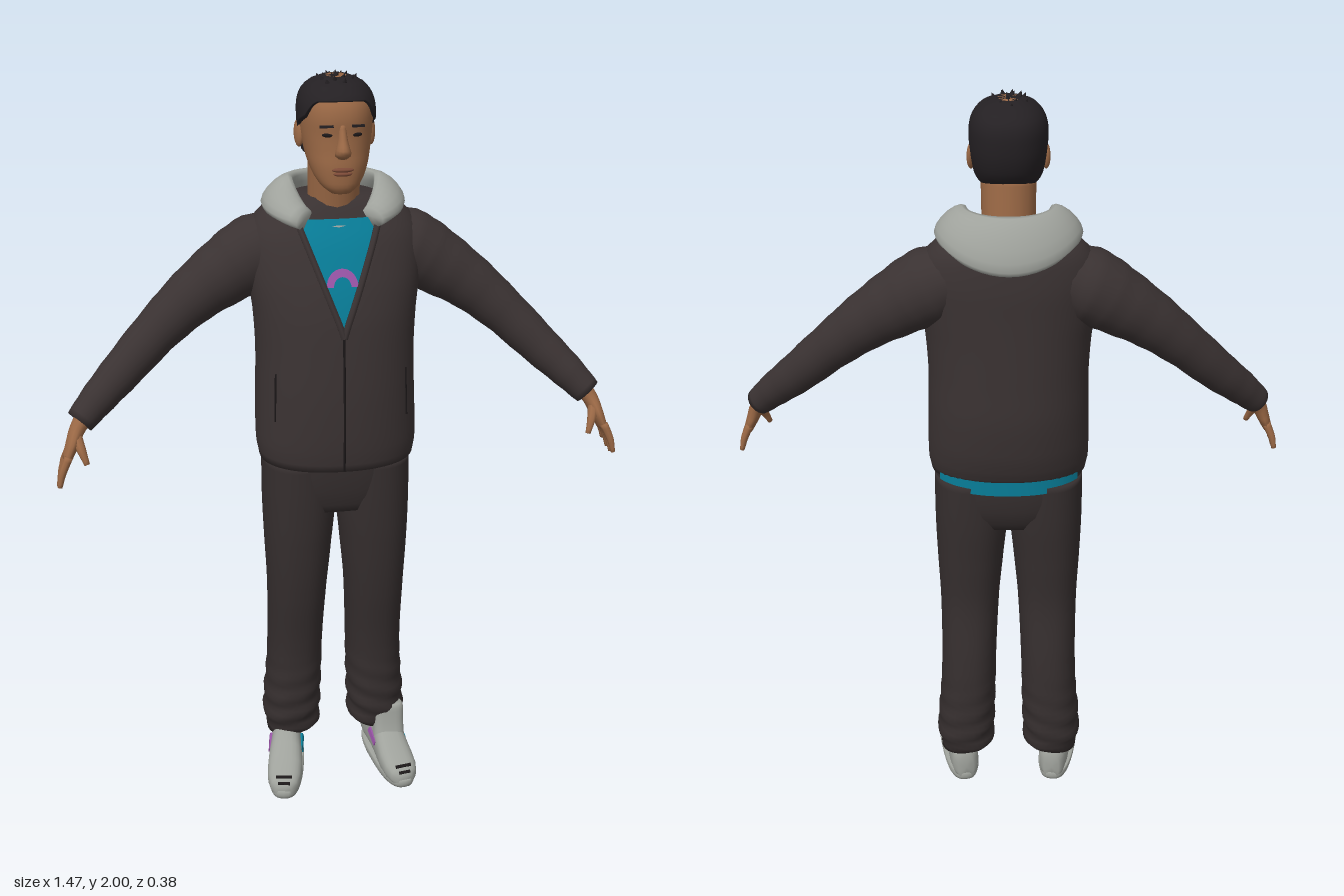
import * as THREE from 'three';

const V = (x, y, z) => new THREE.Vector3(x, y, z);
const mat = (name, color, side = THREE.FrontSide) => {
  const m = new THREE.MeshStandardMaterial({ color, side });
  m.name = name;
  return m;
};

// Closed smooth surface through equal rings of points, capped at both ends
function loft(rings) {
  const n = rings[0].length, pos = [], idx = [];
  const add = p => pos.push(p.x, p.y, p.z);
  rings.forEach(r => r.forEach(add));
  for (let i = 0; i < rings.length - 1; i++) for (let j = 0; j < n; j++) {
    const a = i * n + j, b = i * n + (j + 1) % n;
    idx.push(a, b, b + n, a, b + n, a + n);
  }
  [0, rings.length - 1].forEach((k, end) => {
    add(rings[k].reduce((s, p) => s.add(p), V(0, 0, 0)).divideScalar(n));
    const c = pos.length / 3 - 1;
    for (let j = 0; j < n; j++) {
      const a = k * n + j, b = k * n + (j + 1) % n;
      if (end) idx.push(a, b, c); else idx.push(b, a, c);
    }
  });
  // turn the faces outward
  const P = i => V(pos[3 * i], pos[3 * i + 1], pos[3 * i + 2]);
  let vol = 0;
  for (let i = 0; i < idx.length; i += 3) vol += P(idx[i]).dot(P(idx[i + 1]).cross(P(idx[i + 2])));
  return surface(pos, vol < 0 ? idx.reverse() : idx);
}
function surface(pos, idx) {
  const g = new THREE.BufferGeometry();
  g.setAttribute('position', new THREE.Float32BufferAttribute(pos, 3));
  g.setIndex(idx);
  g.computeVertexNormals();
  return g;
}
// Open sheet from f(u, v)
function sheet(f, nu = 16, nv = 10) {
  const pos = [], idx = [];
  for (let i = 0; i <= nv; i++) for (let j = 0; j <= nu; j++) pos.push(...f(j / nu, i / nv).toArray());
  for (let i = 0; i < nv; i++) for (let j = 0; j < nu; j++) {
    const a = i * (nu + 1) + j, b = a + nu + 1;
    idx.push(a, a + 1, b + 1, a, b + 1, b);
  }
  return surface(pos, idx);
}

// Body described by rows [y, centre x, half width, front z, back z]
function body(rows, n = 2.2) {
  const at = y => {
    let i = 0;
    while (i < rows.length - 2 && y > rows[i + 1][0]) i++;
    const t = THREE.MathUtils.clamp((y - rows[i][0]) / (rows[i + 1][0] - rows[i][0]), 0, 1);
    const r = k => rows[Math.min(Math.max(k, 0), rows.length - 1)];
    return [1, 2, 3, 4].map(c => {
      const [a, b, d, e] = [r(i - 1)[c], r(i)[c], r(i + 1)[c], r(i + 2)[c]];
      return b + 0.5 * t * (d - a + t * (2 * a - 5 * b + 4 * d - e + t * (3 * (b - d) + e - a)));
    });
  };
  const se = c => Math.sign(c) * Math.abs(c) ** (2 / n);
  const point = (y, th, grow = 0) => {
    const [cx, hw, zf, zb] = at(y);
    return V(cx + (hw + grow) * se(Math.cos(th)), y, (zf + zb) / 2 + ((zf - zb) / 2 + grow) * se(Math.sin(th)));
  };
  const frontZ = (x, y) => {
    const [cx, hw, zf, zb] = at(y);
    return (zf + zb) / 2 + (zf - zb) / 2 * Math.max(0, 1 - Math.abs((x - cx) / hw) ** n) ** (1 / n);
  };
  const geometry = (steps = 24, segs = 36, tweak = p => p) => {
    const y0 = rows[0][0], y1 = rows[rows.length - 1][0];
    return loft(Array.from({ length: steps + 1 }, (_, i) => Array.from({ length: segs }, (_, j) =>
      tweak(point(y0 + (y1 - y0) * i / steps, j / segs * 2 * Math.PI)))));
  };
  return { point, frontZ, geometry };
}

// Round limb along points [x, y, z, radius across z, other radius]
function limb(pts, steps = 16, segs = 16, ripple = 0) {
  const curve = new THREE.CatmullRomCurve3(pts.map(p => V(p[0], p[1], p[2])));
  return loft(Array.from({ length: steps + 1 }, (_, i) => {
    const t = i / steps, k = Math.min(t * (pts.length - 1), pts.length - 1.0001), a = Math.floor(k);
    const rad = c => THREE.MathUtils.lerp(pts[a][c] ?? pts[a][3], pts[a + 1][c] ?? pts[a + 1][3], k - a);
    const T = curve.getTangent(t), A = V(0, 0, 1).addScaledVector(T, -T.z).normalize(), B = T.clone().cross(A);
    const w = 1 + ripple * Math.sin(i * 1.9);
    return Array.from({ length: segs }, (_, j) => {
      const th = j / segs * 2 * Math.PI;
      return curve.getPoint(t).addScaledVector(A, rad(3) * w * Math.cos(th)).addScaledVector(B, rad(4) * w * Math.sin(th));
    });
  }));
}
const cord = (pts, r) => new THREE.TubeGeometry(new THREE.CatmullRomCurve3(pts), 20, r, 6);

export function createModel() {
  const root = new THREE.Group();
  const jacketM = mat('dark jacket', 0x3a3232), pantsM = mat('dark trousers', 0x352e2e), skin = mat('skin', 0x9a6845);
  const grey = mat('light grey', 0x9fa29c), hairM = mat('black hair', 0x242023), lipM = mat('lip', 0x7c4a37);
  const teal = mat('teal', 0x087d98, THREE.DoubleSide), violet = mat('violet', 0x9a55a8, THREE.DoubleSide);
  const seamM = mat('black seam', 0x1b1718);
  const add = (name, geo, m, parent = root) => {
    const mesh = new THREE.Mesh(geo, m);
    mesh.name = name;
    parent.add(mesh);
    return mesh;
  };
  const ball = (name, m, p, s) => {
    const b = add(name, new THREE.SphereGeometry(1, 16, 12), m);
    b.position.set(...p);
    b.scale.set(...s);
    return b;
  };

  // Jacket torso, hem raised at the back
  const torso = body([[1, 0, .205, .155, -.15], [1.04, 0, .212, .16, -.16], [1.1, 0, .212, .162, -.175], [1.2, 0, .209, .16, -.185],
    [1.3, 0, .207, .152, -.183], [1.4, 0, .212, .14, -.18], [1.48, 0, .222, .12, -.178], [1.55, 0, .226, .095, -.177],
    [1.6, 0, .218, .074, -.172], [1.64, 0, .195, .05, -.165], [1.67, 0, .155, .035, -.15], [1.69, 0, .1, .02, -.12]], 2.25);
  add('jacketBody', torso.geometry(36, 48, p => {
    if (p.y < 1.05) p.y += (1.05 - p.y) * 0.4 * Math.max(0, -p.z / .15);
    return p;
  }), jacketM);
  const onChest = (x, y, d) => V(x, y, torso.frontZ(x, y) + d);
  const neckW = y => (y - 1.37) * .38;

  // Shirt in the open neck, its print, and its hem below the jacket at the back
  add('shirtFront', sheet((u, v) => {
    const y = 1.37 + .275 * v;
    return onChest((2 * u - 1) * neckW(y), y, .004);
  }), teal);
  add('shirtPrint', sheet((u, v) => {
    const a = Math.PI * u, r = .022 + .018 * v;
    return onChest(Math.cos(a) * r, 1.49 + Math.sin(a) * r * 1.1, .007);
  }, 16, 2), violet);
  add('shirtHem', sheet((u, v) => {
    const p = torso.point(1, Math.PI * (1.17 + .66 * u), .002);
    p.y = .985 + .04 * v;
    return p;
  }, 24, 2), teal);
  const collar = add('shirtCollar', new THREE.TorusGeometry(.075, .009, 8, 32), grey);
  collar.position.set(0, 1.645, -.018);
  collar.rotation.x = Math.PI / 2 + .28;

  // Zip, open edges and pocket seams
  const line = (f, n = 8) => Array.from({ length: n + 1 }, (_, i) => f(i / n));
  add('zip', cord(line(t => onChest(0, 1.003 + .37 * t, .001)), .003), seamM);
  for (const s of [-1, 1]) {
    add('jacketEdge', cord(line(t => {
      const y = 1.365 + .275 * t;
      return onChest(s * Math.max(0, neckW(y)), y, .006);
    }), .009), jacketM);
    add('pocketSeam', cord(line(t => onChest(s * (.172 - .004 * t), 1.13 + .13 * t, .0005)), .0025), seamM);
  }

  // Hood lying round the neck and hanging to a point behind
  add('hood', loft(Array.from({ length: 41 }, (_, i) => {
    const a = (i / 20 - 1) * 2.5, c = Math.cos(a), s = Math.sin(a), back = Math.max(0, c), front = Math.max(0, -c);
    const inner = V(s * .105, 1.735 - .11 * front ** 1.5, -.035 - c * .085);
    const outer = V(s * .18, 1.662 - .055 * back ** 2 - .03 * front, -.04 - c * .146);
    const d = outer.clone().sub(inner), mid = inner.clone().addScaledVector(d, .5);
    const n = V(c, 0, s).cross(d).normalize();
    return Array.from({ length: 14 }, (_, j) => {
      const t = j / 14 * 2 * Math.PI;
      return mid.clone().addScaledVector(d, .5 * Math.cos(t)).addScaledVector(n, .022 * Math.sin(t));
    });
  })), grey);

  // Head, neck and face
  add('neck', limb([[0, 1.6, -.04, .066], [0, 1.68, -.03, .066], [0, 1.8, -.012, .068]]), skin);
  const head = body([[1.722, 0, .026, .11, .05], [1.735, 0, .045, .12, .02], [1.76, 0, .062, .123, -.02], [1.79, 0, .074, .124, -.06],
    [1.82, 0, .081, .121, -.088], [1.86, 0, .087, .119, -.103], [1.9, 0, .089, .121, -.108], [1.93, 0, .087, .115, -.107],
    [1.955, 0, .077, .1, -.096], [1.975, 0, .058, .074, -.068], [1.988, 0, .026, .035, -.03]], 2.25);
  add('head', head.geometry(30, 36), skin);
  add('nose', body([[1.81, 0, .012, .128, .1], [1.82, 0, .02, .146, .1], [1.83, 0, .018, .152, .1], [1.855, 0, .012, .138, .1],
    [1.89, 0, .009, .122, .1]], 2).geometry(10, 14), skin);
  ball('upperLip', lipM, [0, 1.784, .122], [.027, .006, .009]);
  ball('lowerLip', lipM, [0, 1.774, .121], [.023, .006, .009]);
  for (const s of [-1, 1]) {
    ball('eye', seamM, [s * .036, 1.866, head.frontZ(.036, 1.866) - .001], [.013, .005, .004]).rotation.y = s * .3;
    const brow = add('eyebrow', new THREE.BoxGeometry(.034, .006, .006), hairM);
    brow.position.set(s * .038, 1.887, head.frontZ(.038, 1.887));
    brow.rotation.set(0, s * .35, s * -.08);
    ball('ear', skin, [s * .09, 1.85, -.005], [.01, .034, .02]).rotation.set(-.15, s * -.3, 0);
  }

  // Short hair: a shell over the skull with a low nape and short tufts on top
  const hairline = [1.77, 1.775, 1.785, 1.8, 1.87, 1.885, 1.9, 1.938, 1.942];
  const edge = th => {
    const k = (Math.sin(th) + 1) * 3.999, i = Math.floor(k);
    return THREE.MathUtils.lerp(hairline[i], hairline[i + 1], k - i);
  };
  add('hair', loft(Array.from({ length: 19 }, (_, i) => Array.from({ length: 48 }, (_, j) => {
    const th = j / 48 * 2 * Math.PI, t = i / 18, y = edge(th);
    return head.point(y + (1.988 - y) * t, th, i ? .007 : -.004);
  }))), hairM);
  for (let i = 0; i < 16; i++) {
    const a = i * 2.4, r = .013 * Math.sqrt(i), tuft = add('hairTuft', new THREE.ConeGeometry(.014, .026, 6), hairM);
    tuft.position.set(Math.cos(a) * r, 1.987 - r * r * 4, .012 + Math.sin(a) * r * 1.2);
    tuft.rotation.set(Math.sin(a) * .5, 0, -Math.cos(a) * .5);
  }

  // Hips
  add('hips', body([[.86, 0, .17, .105, -.115], [.9, 0, .19, .118, -.135], [.96, 0, .198, .127, -.145], [1.04, 0, .198, .13, -.145]], 2.4)
    .geometry(8, 40), pantsM);

  for (const s of [-1, 1]) {
    // Sleeve and hand
    const m = pts => pts.map(([x, ...r]) => [s * x, ...r]);
    add('sleeve', limb(m([[.12, 1.565, -.06, .085], [.2, 1.535, -.06, .098], [.27, 1.495, -.055, .088], [.36, 1.435, -.043, .073],
      [.45, 1.36, -.022, .061], [.55, 1.265, .015, .053], [.62, 1.2, .05, .045], [.668, 1.152, .075, .037]]), 32, 20, .015), jacketM);
    add('palm', limb(m([[.65, 1.17, .068, .026, .024], [.675, 1.135, .083, .027, .02], [.69, 1.1, .096, .038, .017],
      [.705, 1.065, .102, .036, .013]]), 12, 14), skin);
    for (let f = 0; f < 4; f++) {
      const z = .074 + f * .02, d = (f - 1.5) * .008, l = [.8, .97, 1, .9][f];
      add('finger', limb(m([[.7, 1.08, z, .011], [.7 + .02 * l, 1.08 - .045 * l, z + d * .6, .0095],
        [.7 + .03 * l, 1.08 - .085 * l, z + d, .006]]), 8, 8), skin);
    }
    add('thumb', limb(m([[.678, 1.125, .1, .014], [.667, 1.095, .127, .012], [.655, 1.06, .142, .007]]), 8, 8), skin);

    // Trouser leg with gathered cuff
    const leg = body([[.1, .125, .066, .02, -.115], [.13, .124, .078, .042, -.138], [.2, .122, .08, .055, -.146], [.3, .116, .078, .062, -.146],
      [.42, .112, .077, .07, -.138], [.6, .108, .082, .098, -.116], [.75, .104, .092, .114, -.124], [.87, .1, .099, .12, -.134],
      [1, .1, .098, .122, -.138]], 2.3);
    add('trouserLeg', leg.geometry(54, 32, p => {
      const k = .007 * Math.max(0, 1 - p.y / .38) * Math.sin(p.y * 95 + 2.5 * p.x * 10);
      return V(s * (p.x + Math.sign(p.x - .12) * k), p.y, p.z + Math.sign(p.z + .045) * k);
    }), pantsM);

    // Shoe, toe turned outward
    const shoe = new THREE.Group();
    shoe.name = s > 0 ? 'leftShoe' : 'rightShoe';
    shoe.position.set(s * .15, 0, .036);
    shoe.rotation.y = s * .17;
    root.add(shoe);
    const last = [[-.15, .022, .085], [-.14, .036, .11], [-.1, .042, .13], [-.04, .042, .135], [.0, .045, .125], [.03, .048, .108],
      [.07, .05, .083], [.11, .047, .068], [.135, .038, .056], [.148, .022, .042]];
    add('shoeUpper', loft(last.map(([z, w, h]) => Array.from({ length: 24 }, (_, j) => {
      const t = j / 12 * Math.PI, q = c => Math.sign(c) * Math.abs(c) ** .75;
      return V(w * q(Math.cos(t)), .004 + (h - .004) * (.5 + .5 * q(Math.sin(t))), z);
    }))), grey, shoe);
    add('sole', body([[0, 0, .048, .15, -.15], [.012, 0, .051, .154, -.153], [.024, 0, .049, .152, -.151]], 2.7).geometry(4, 36), grey, shoe);
    for (const e of [-1, 1]) {
      const flash = add('shoeFlash', new THREE.BoxGeometry(.006, .016, .055), e > 0 ? teal : violet, shoe);
      flash.position.set(e * .046, .082, -.005);
      flash.rotation.set(.35, 0, e * .2);
    }
    for (let i = 0; i < 2; i++) {
      const toeMark = add('toeMark', new THREE.BoxGeometry(.045 - i * .012, .005, .008), seamM, shoe);
      toeMark.position.set(0, .0605 - i * .014, .131 + i * .012);
      toeMark.rotation.x = .6;
    }
  }
  // Raised tongue outside the left cuff
  add('shoeTongue', body([[.08, .152, .046, .07, -.01], [.13, .152, .044, .058, -.01], [.18, .153, .042, .05, 0], [.19, .153, .036, .046, .01]], 3)
    .geometry(10, 24), grey);
  return root;
}
